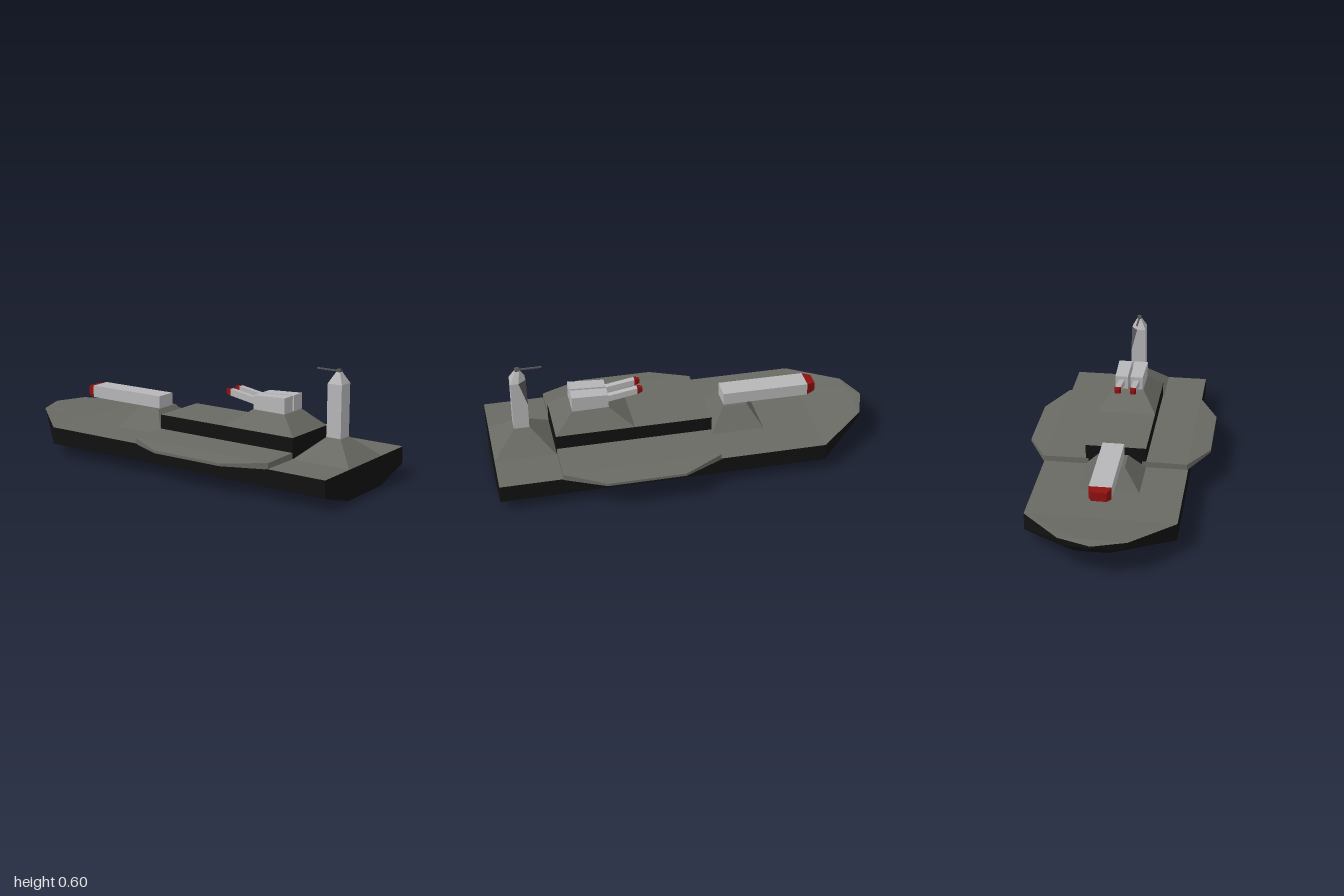
import * as THREE from 'three';
import { ConvexGeometry } from 'three/addons/geometries/ConvexGeometry.js';

const mat = (name, color) => {
  const m = new THREE.MeshStandardMaterial({ color });
  m.name = name;
  return m;
};

export function createModel() {
  const root = new THREE.Group();
  root.name = 'warship';
  const deck = mat('deck olive grey', 0x6a6a64);
  const black = mat('hull black', 0x111111);
  const light = mat('light grey', 0xb6b6b8);
  const red = mat('muzzle red', 0x901010);
  const dark = mat('dark grey', 0x555557);
  const CX = -0.007; // centreline of hull and superstructure

  const add = (name, geo, material, parent = root) => {
    const mesh = new THREE.Mesh(geo, material);
    mesh.name = name;
    parent.add(mesh);
    return mesh;
  };

  // Six-sided block whose corners are placed by a rule of the corner signs
  const block = (name, material, rule, parent) => {
    const box = new THREE.BoxGeometry(2, 2, 2);
    const geo = box.toNonIndexed();
    const p = geo.attributes.position;
    for (let i = 0; i < p.count; i++) p.setXYZ(i, ...rule(p.getX(i), p.getY(i), p.getZ(i)));
    geo.computeVertexNormals();
    return add(name, geo, material, parent);
  };
  // Block between two levels, each given as [y, x centre, half width, z min, z max]
  const tapered = (name, material, low, high, parent) =>
    block(name, material, (sx, sy, sz) => {
      const [y, cx, w, z0, z1] = sy < 0 ? low : high;
      return [cx + sx * w, y, sz < 0 ? z0 : z1];
    }, parent);
  // Block between two stations, each given as [z, x centre, half width, y min, y max]
  const along = (name, material, bow, stern, parent) =>
    block(name, material, (sx, sy, sz) => {
      const [z, cx, w, y0, y1] = sz < 0 ? bow : stern;
      return [cx + sx * w, sy < 0 ? y0 : y1, z];
    }, parent);

  // Hull: stations as z and four [half width, y] points: keel, chine, deck edge, inner deck
  const stations = [
    [1, [0.158, 0], [0.378, 0.065], [0.378, 0.155], [0.158, 0.155]],
    [-0.69, [0.158, 0], [0.378, 0.065], [0.378, 0.155], [0.158, 0.155]],
    [-0.94, [0.08, 0.12], [0.155, 0.145], [0.168, 0.183], [0.08, 0.187]],
    [-1, [0.003, 0.172], [0.004, 0.176], [0.004, 0.185], [0.002, 0.185]],
  ].map(([z, ...pts]) => [
    ...pts.map(([w, y]) => [CX + w, y, z]),
    ...pts.reverse().map(([w, y]) => [CX - w, y, z]),
  ]);
  const skins = { hullSides: [], deck: [], hullBottom: [] };
  const skinOf = ['hullSides', 'hullSides', 'deck', 'deck', 'deck', 'hullSides', 'hullSides', 'hullBottom'];
  for (let s = 0; s < 3; s++) {
    for (let i = 0; i < 8; i++) {
      const j = (i + 1) % 8;
      const [a, b, c, d] = [stations[s][i], stations[s][j], stations[s + 1][j], stations[s + 1][i]];
      // the flat bottom ends at the foot of the bow
      const skin = skinOf[i] === 'hullBottom' && s > 0 ? 'hullSides' : skinOf[i];
      skins[skin].push(...a, ...d, ...c, ...a, ...c, ...b);
    }
  }
  // Stern and stem caps
  for (let i = 1; i < 7; i++) {
    skins.hullSides.push(...stations[0][0], ...stations[0][i], ...stations[0][i + 1]);
    skins.hullSides.push(...stations[3][0], ...stations[3][i + 1], ...stations[3][i]);
  }
  const skinMaterial = { hullSides: black, deck, hullBottom: light };
  for (const [name, points] of Object.entries(skins)) {
    const geo = new THREE.BufferGeometry();
    geo.setAttribute('position', new THREE.Float32BufferAttribute(points, 3));
    geo.computeVertexNormals();
    add(name, geo, skinMaterial[name]);
  }

  // Side platforms: inner slab and tapered outer edge, as [x, z min, z max, y min, y max]
  const rib = [
    [0.14, -0.135, 0.679, 0.154, 0.187],
    [0.376, -0.135, 0.679, 0.152, 0.184],
    [0.4825, 0.07, 0.47, 0.158, 0.172],
  ];
  for (const side of [1, -1]) {
    for (let k = 0; k < 2; k++) {
      block(k ? 'platformEdge' : 'platformSlab', deck, (sx, sy, sz) => {
        const [x, z0, z1, y0, y1] = rib[sx * side < 0 ? k : k + 1];
        return [-0.003 + side * x, sy < 0 ? y0 : y1, sz < 0 ? z0 : z1];
      });
    }
  }

  // Superstructure: black walls with a deck-coloured roof
  tapered('superstructure', [black, black, deck, black, black, black],
    [0.15, CX, 0.158, -0.135, 0.68], [0.262, CX, 0.158, -0.135, 0.68]);

  // Sloped pedestals
  tapered('towerPedestal', deck, [0.155, CX, 0.158, 0.682, 1], [0.262, CX, 0.04, 0.8, 0.88]);
  tapered('twinGunPedestal', deck, [0.262, CX, 0.158, 0.27, 0.68], [0.35, CX, 0.08, 0.39, 0.58]);
  tapered('mainGunPedestal', deck, [0.155, CX, 0.158, -0.415, -0.135], [0.262, CX, 0.075, -0.345, -0.215]);

  // Tower with one cut corner and a tapered head
  const tower = new THREE.Group();
  tower.name = 'tower';
  root.add(tower);
  const V = (x, y, z) => new THREE.Vector3(x, y, z);
  const cut = [V(0, 0.53, 0.8), V(0.033, 0.53, 0.84), V(0.033, 0.4, 0.8)];
  const body = [V(-0.047, 0.53, 0.8), V(-0.047, 0.53, 0.88), V(0.033, 0.53, 0.88), ...cut];
  for (const sx of [-1, 1]) {
    for (const sz of [-1, 1]) {
      body.push(V(CX + sx * 0.04, 0.26, 0.84 + sz * 0.04));
      body.push(V(CX + sx * 0.011, 0.586, 0.84 + sz * 0.011));
    }
  }
  add('towerBody', new ConvexGeometry(body), light, tower);
  const panel = new THREE.BufferGeometry().setFromPoints([cut[0], cut[1], cut[2]]);
  panel.computeVertexNormals();
  panel.translate(0.0008, 0, -0.0008);
  add('towerCutPanel', panel, dark, tower);
  tapered('towerCap', dark, [0.584, CX, 0.011, 0.829, 0.851], [0.6, CX, 0.01, 0.83, 0.85], tower);
  along('towerBarrel', dark, [0.715, CX, 0.004, 0.587, 0.594], [0.835, CX, 0.004, 0.587, 0.594], tower);

  // Twin guns
  for (const side of [1, -1]) {
    const gun = new THREE.Group();
    gun.name = side > 0 ? 'leftGun' : 'rightGun';
    root.add(gun);
    const x = CX + side * 0.041;
    along('gunHouse', light, [0.39, x, 0.034, 0.35, 0.422], [0.58, x + side * 0.002, 0.037, 0.35, 0.432], gun);
    along('gunBarrel', light, [0.235, x, 0.015, 0.396, 0.429], [0.4, x, 0.015, 0.367, 0.402], gun);
    along('gunMuzzle', red, [0.208, x, 0.01, 0.404, 0.427], [0.235, x, 0.0165, 0.395, 0.431], gun);
  }

  // Main gun with tapered muzzle
  const main = new THREE.Group();
  main.name = 'mainGun';
  root.add(main);
  along('mainGunBody', light, [-0.68, CX, 0.056, 0.262, 0.326], [-0.222, CX, 0.056, 0.262, 0.328], main);
  along('mainGunMuzzle', red, [-0.725, CX, 0.038, 0.271, 0.318], [-0.68, CX, 0.056, 0.262, 0.326], main);

  return root;
}
